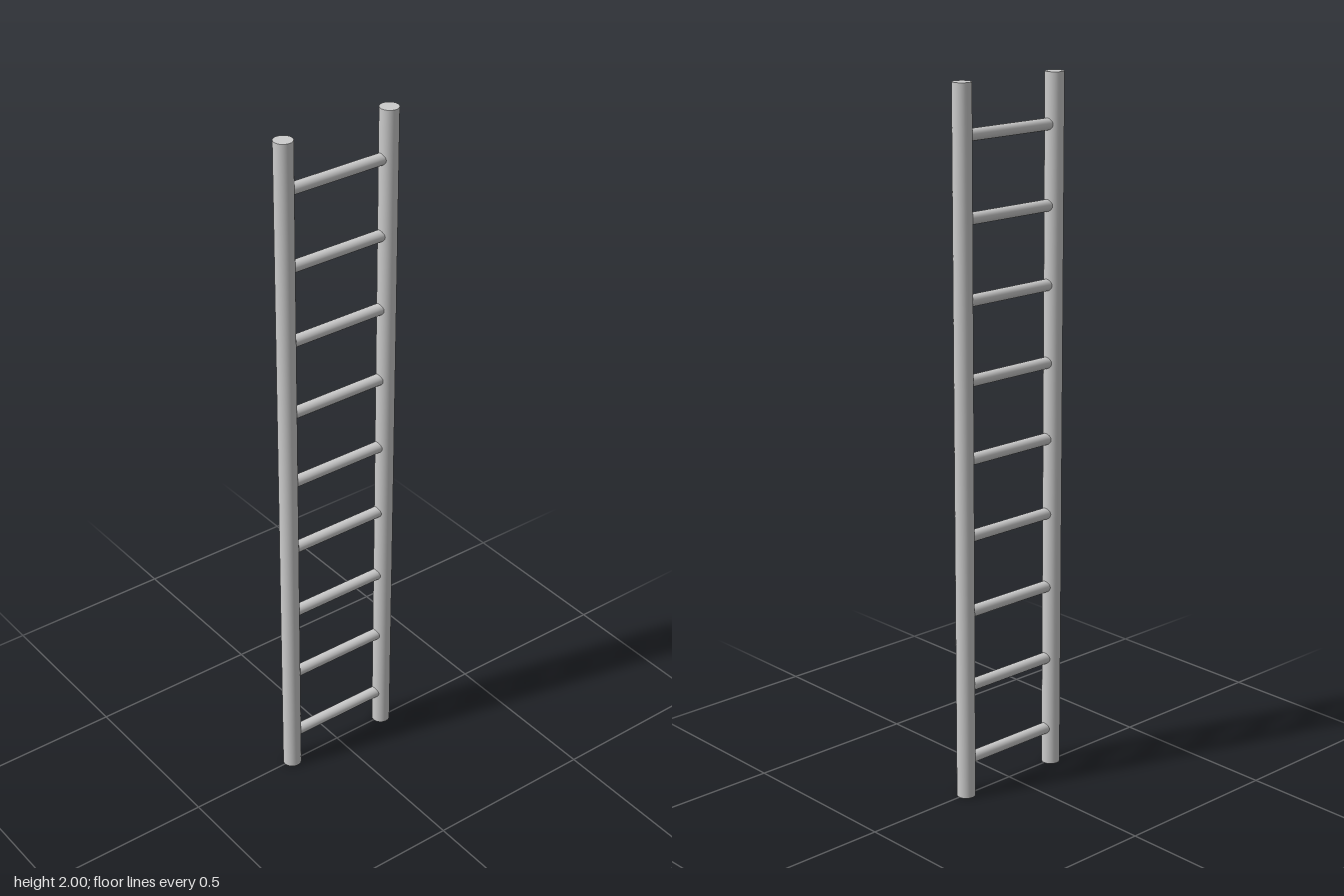
import * as THREE from 'three';

const HEIGHT = 2;
const RAIL_X = 0.1655;
const RAIL_RADIUS = 0.0265;
const RUNG_RADIUS = 0.0165;
const RUNG_COUNT = 9;
const FIRST_RUNG_Y = 0.109;
const RUNG_SPACING = 0.219;

export function createModel() {
  const ladder = new THREE.Group();
  ladder.name = 'ladder';
  const material = new THREE.MeshStandardMaterial({ color: 0xcccccc });

  // Two round upright rails
  const railGeometry = new THREE.CylinderGeometry(RAIL_RADIUS, RAIL_RADIUS, HEIGHT, 32);
  for (const [name, side] of [['leftRail', 1], ['rightRail', -1]]) {
    const rail = new THREE.Mesh(railGeometry, material);
    rail.name = name;
    rail.position.set(side * RAIL_X, HEIGHT / 2, 0);
    ladder.add(rail);
  }

  // Evenly spaced round rungs, their ends sunk into the rails
  const rungGeometry = new THREE.CylinderGeometry(RUNG_RADIUS, RUNG_RADIUS, RAIL_X * 2, 32);
  rungGeometry.rotateZ(Math.PI / 2);
  for (let i = 0; i < RUNG_COUNT; i++) {
    const rung = new THREE.Mesh(rungGeometry, material);
    rung.name = `rung${i + 1}`;
    rung.position.y = FIRST_RUNG_Y + i * RUNG_SPACING;
    ladder.add(rung);
  }

  return ladder;
}
